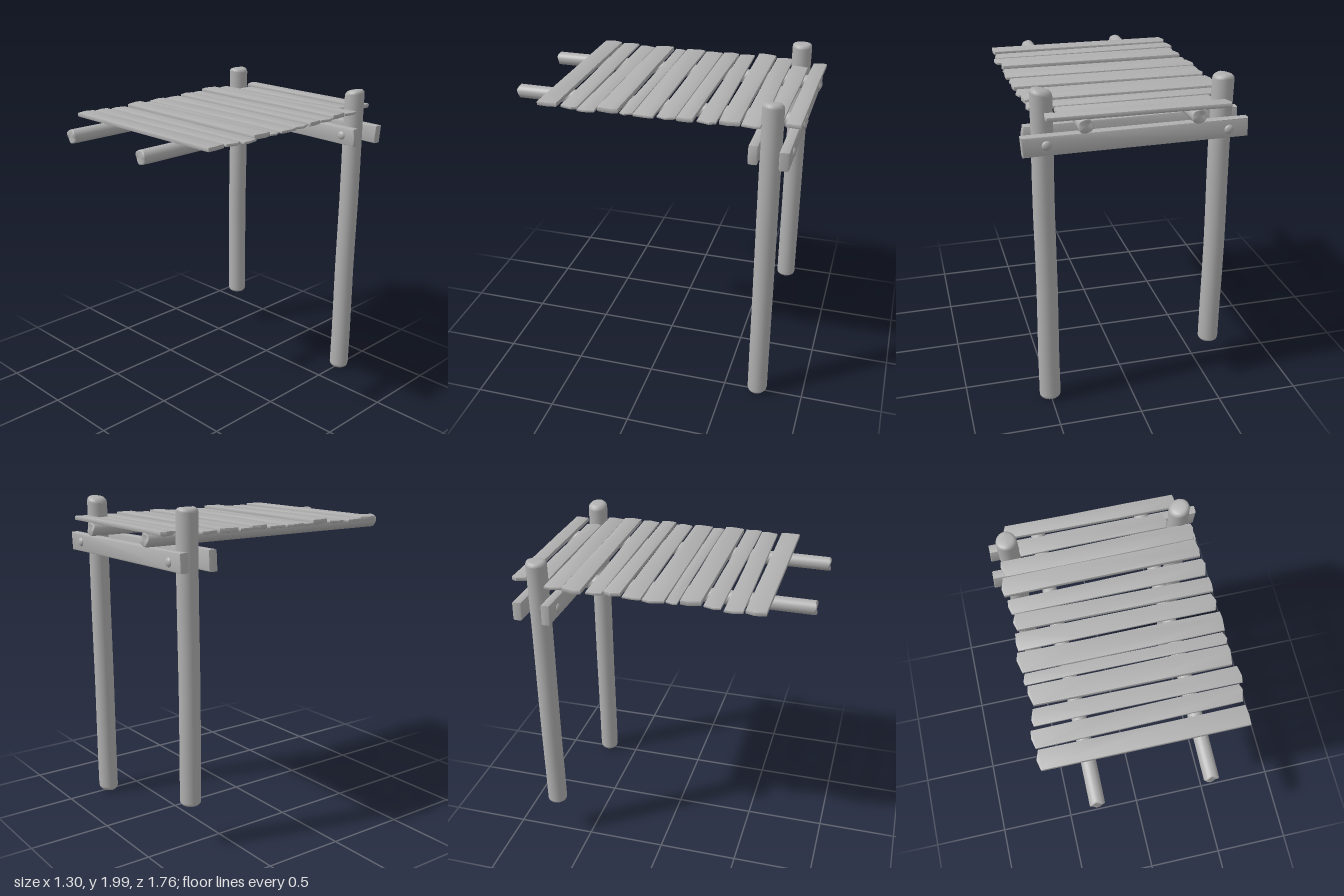
import * as THREE from 'three';
import { mergeVertices, toCreasedNormals } from 'three/addons/utils/BufferGeometryUtils.js';

const wood = new THREE.MeshStandardMaterial({ color: 0xb0b0b0 });
wood.name = 'grey wood';

function mesh(name, geometry) {
  const m = new THREE.Mesh(geometry, wood);
  m.name = name;
  return m;
}

// Round log along y with softened ends; shape(v) bends its vertices
function log(radius, y0, y1, round, shape) {
  const pts = [new THREE.Vector2(0, y0)];
  const arc = [0, 30, 60, 90].map(d => d * Math.PI / 180);
  for (const a of arc) pts.push(new THREE.Vector2(radius - round + round * Math.sin(a), y0 + round - round * Math.cos(a)));
  for (let i = 1; i < 8; i++) pts.push(new THREE.Vector2(radius, y0 + round + (y1 - y0 - 2 * round) * i / 8));
  for (const a of arc) pts.push(new THREE.Vector2(radius - round + round * Math.cos(a), y1 - round + round * Math.sin(a)));
  pts.push(new THREE.Vector2(0, y1));
  let g = new THREE.LatheGeometry(pts, 24);
  const p = g.attributes.position, v = new THREE.Vector3();
  for (let i = 0; i < p.count; i++) {
    v.fromBufferAttribute(p, i);
    shape(v);
    p.setXYZ(i, v.x, v.y, v.z);
  }
  g.deleteAttribute('uv');
  g.deleteAttribute('normal');
  g = mergeVertices(g, 1e-5);
  g.computeVertexNormals();
  return g;
}

// Board cut from an outline, with small bevels inside the outline
function board(points, thickness, bevel) {
  const outline = new THREE.Shape(points.map(([x, y]) => new THREE.Vector2(x, y)));
  const g = new THREE.ExtrudeGeometry(outline, {
    depth: thickness - 2 * bevel, bevelThickness: bevel, bevelSize: bevel,
    bevelOffset: -bevel, bevelSegments: 2,
  });
  g.translate(0, 0, bevel);
  return toCreasedNormals(g, 0.6);
}

export function createModel() {
  const model = new THREE.Group();
  model.name = 'woodenCanopy';

  // Posts: the left one is longer and has a slanted top
  const rightPost = mesh('rightPost', log(0.062, 0.27, 2, 0.022, v => {
    v.x += 0.003 * Math.sin(v.y * 5);
    if (v.y > 1.9) v.y -= 0.008 * Math.abs(v.x) / 0.06;
  }));
  rightPost.position.set(-0.52, 0, -0.715);
  const leftPost = mesh('leftPost', log(0.062, 0.008, 2, 0.03, v => {
    const low = Math.max(0, 1 - v.y / 0.9);
    v.x *= 1 + 0.05 * low;
    if (v.y > 1.9) v.y += 0.2 * (v.x - 0.062);
    if (v.y < 0.1) v.y += 0.12 * Math.max(0, -v.z);
    v.x += 0.008 * (v.y / 2 - 0.5) + 0.002 * Math.sin(v.y * 6);
  }));
  leftPost.position.set(0.508, 0, -0.715);
  model.add(rightPost, leftPost);

  // Cross beams clamping the posts
  const frontBeam = mesh('frontBeam', board([
    [-0.65, 1.655], [-0.3, 1.65], [0.2, 1.654], [0.605, 1.65], [0.61, 1.71],
    [0.6, 1.762], [0.2, 1.768], [-0.3, 1.772], [-0.643, 1.776]], 0.056, 0.01));
  frontBeam.position.z = -0.658;
  const backBeam = mesh('backBeam', board([
    [-0.64, 1.66], [-0.2, 1.656], [0.3, 1.652], [0.637, 1.648], [0.646, 1.762],
    [0.3, 1.764], [-0.2, 1.768], [-0.635, 1.77]], 0.058, 0.01));
  backBeam.position.z = -0.838;
  model.add(frontBeam, backBeam);

  // Domed bolt heads on both beams
  for (const x of [-0.522, 0.508]) {
    for (const [side, z] of [[1, -0.604], [-1, -0.836]]) {
      const dome = new THREE.SphereGeometry(0.028, 16, 6, 0, Math.PI * 2, 0, Math.PI / 2);
      dome.rotateX(side * Math.PI / 2);
      const bolt = mesh('bolt', dome);
      bolt.scale.z = 0.6;
      bolt.position.set(x, 1.71, z);
      model.add(bolt);
    }
  }

  // Rails carrying the roof, with ragged sawn ends
  for (const x of [-0.33, 0.302]) {
    const rail = mesh('rail', log(0.042, -0.875, 0.878, 0.008, v => {
      const a = Math.atan2(v.z, v.x);
      if (Math.abs(v.y) > 0.8) v.y += 0.005 * Math.sin(a * 3 + x * 9) * Math.hypot(v.x, v.z) / 0.042;
      v.x += 0.003 * Math.sin(v.y * 4);
    }).rotateX(Math.PI / 2));
    rail.position.set(x, 1.812, 0);
    model.add(rail);
  }

  // Roof planks: left x, right x, back z and front z at each end, top height
  const planks = [
    [-0.525, 0.515, -0.88, -0.795, -0.872, -0.785, 1.876],
    [-0.46, 0.44, -0.77, -0.665, -0.765, -0.665, 1.866],
    [-0.585, 0.58, -0.655, -0.55, -0.66, -0.552, 1.868],
    [-0.605, 0.578, -0.542, -0.425, -0.545, -0.43, 1.878],
    [-0.588, 0.592, -0.4, -0.305, -0.415, -0.305, 1.868],
    [-0.578, 0.592, -0.3, -0.198, -0.285, -0.192, 1.876],
    [-0.587, 0.592, -0.185, -0.073, -0.183, -0.075, 1.866],
    [-0.602, 0.597, -0.065, 0.062, -0.06, 0.06, 1.868],
    [-0.587, 0.592, 0.068, 0.138, 0.066, 0.142, 1.864],
    [-0.577, 0.587, 0.15, 0.268, 0.153, 0.275, 1.88],
    [-0.587, 0.612, 0.283, 0.385, 0.285, 0.388, 1.866],
    [-0.607, 0.594, 0.405, 0.512, 0.393, 0.497, 1.868],
    [-0.602, 0.587, 0.522, 0.64, 0.522, 0.64, 1.876],
  ];
  planks.forEach(([xl, xr, bl, fl, br, fr, top], i) => {
    const w = k => 0.004 * Math.sin(i * 2.7 + k * 1.9);
    const inL = 0.012 + 2 * w(1), inR = 0.012 + 2 * w(2);
    const mix = (a, b, t, k) => -(a + (b - a) * t) + w(k) * 0.7;
    const pts = [[xl + inL, -fl]];
    for (const t of [0.3, 0.65]) pts.push([xl + (xr - xl) * t, mix(fl, fr, t, t * 9)]);
    pts.push([xr - inR, -fr], [xr, -(br + (fr - br) * (0.45 + 40 * w(3)))], [xr - 0.012 + 2 * w(4), -br]);
    for (const t of [0.7, 0.35]) pts.push([xl + (xr - xl) * t, mix(bl, br, t, t * 7)]);
    pts.push([xl + 0.012 - 2 * w(5), -bl], [xl, -(bl + (fl - bl) * (0.5 + 40 * w(6)))]);
    const thickness = top - 1.85;
    const plank = mesh('roofPlank', board(pts, thickness, 0.005).rotateX(-Math.PI / 2));
    plank.position.y = 1.85;
    model.add(plank);
  });

  return model;
}
